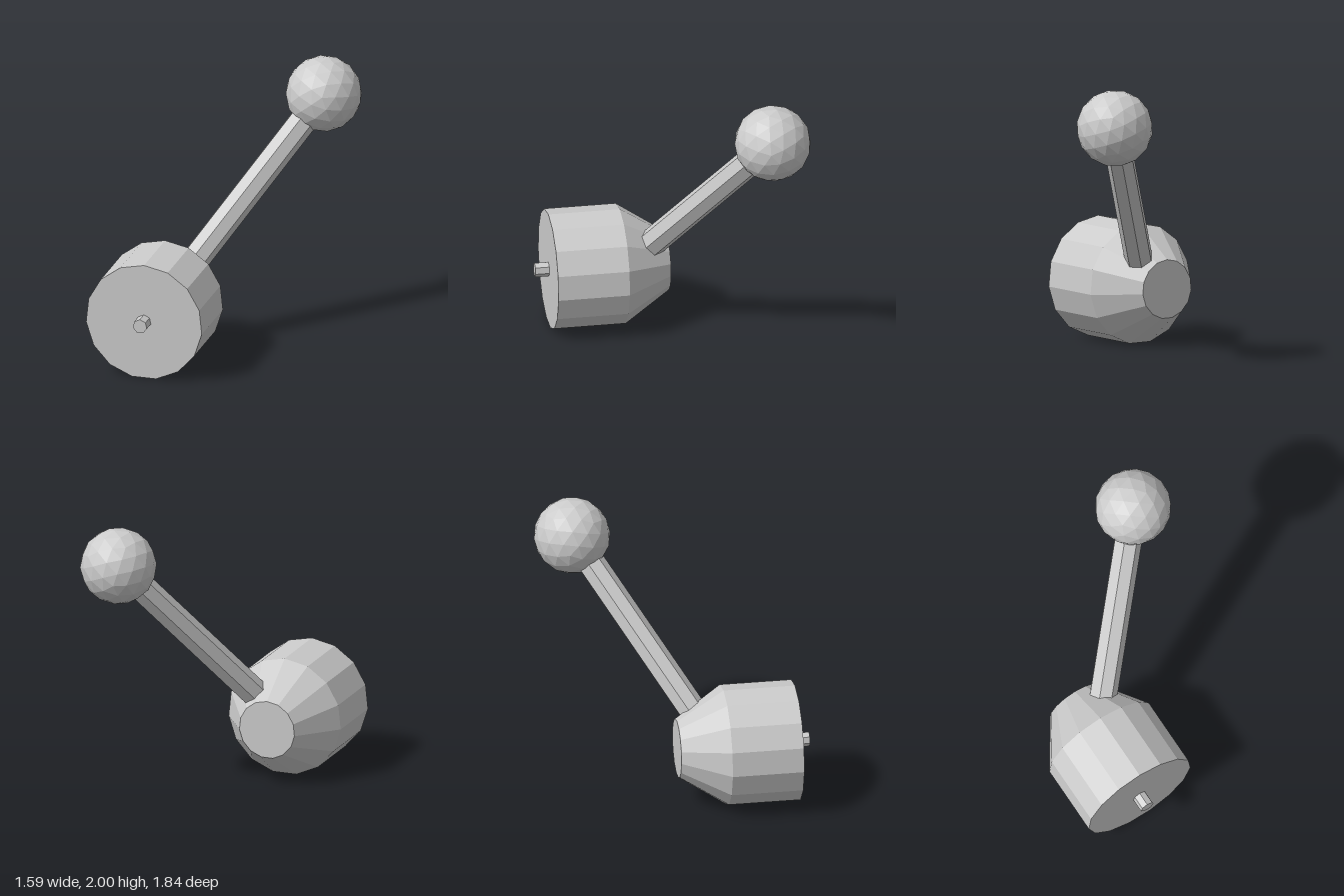
import * as THREE from 'three';

const material = new THREE.MeshStandardMaterial({ color: 0xcccccc, flatShading: true });

function addPart(group, name, geometry) {
  const mesh = new THREE.Mesh(geometry, material);
  mesh.name = name;
  group.add(mesh);
  return mesh;
}

// Closed solid turned about the z axis from [radius, z] pairs, back to front
function turned(profile, sides) {
  const points = profile.map(([r, z]) => new THREE.Vector2(r, z));
  return new THREE.LatheGeometry(points, sides, Math.PI).rotateX(Math.PI / 2);
}

export function createModel() {
  const group = new THREE.Group();
  group.name = 'leverKnob';

  // Drum with a tapered back
  const drum = addPart(group, 'drum', turned(
    [[0, -0.03], [0.212, -0.03], [0.432, 0.305], [0.432, 0.82], [0, 0.82]], 15));
  drum.position.set(-0.37, 0.427, 0);

  // Small pin in the middle of the front face
  const pin = addPart(group, 'pin', turned(
    [[0, 0.78], [0.053, 0.78], [0.053, 0.92], [0, 0.92]], 7));
  pin.position.set(-0.37, 0.43, 0);

  // Slanted rod running from the tapered back into the ball
  const start = new THREE.Vector3(-0.215, 0.65, 0.1);
  const ballCentre = new THREE.Vector3(0.52, 1.73, -0.645);
  const axis = ballCentre.clone().sub(start);
  const rod = addPart(group, 'rod', new THREE.CylinderGeometry(0.102, 0.102, axis.length(), 7));
  rod.position.copy(start).addScaledVector(axis, 0.5);
  rod.quaternion.setFromUnitVectors(new THREE.Vector3(0, 1, 0), axis.normalize());

  // Faceted ball grip
  const ball = addPart(group, 'ballGrip', new THREE.IcosahedronGeometry(0.273, 2));
  ball.position.copy(ballCentre);
  ball.rotation.set(0.3, 0.4, 0.2);

  return group;
}
